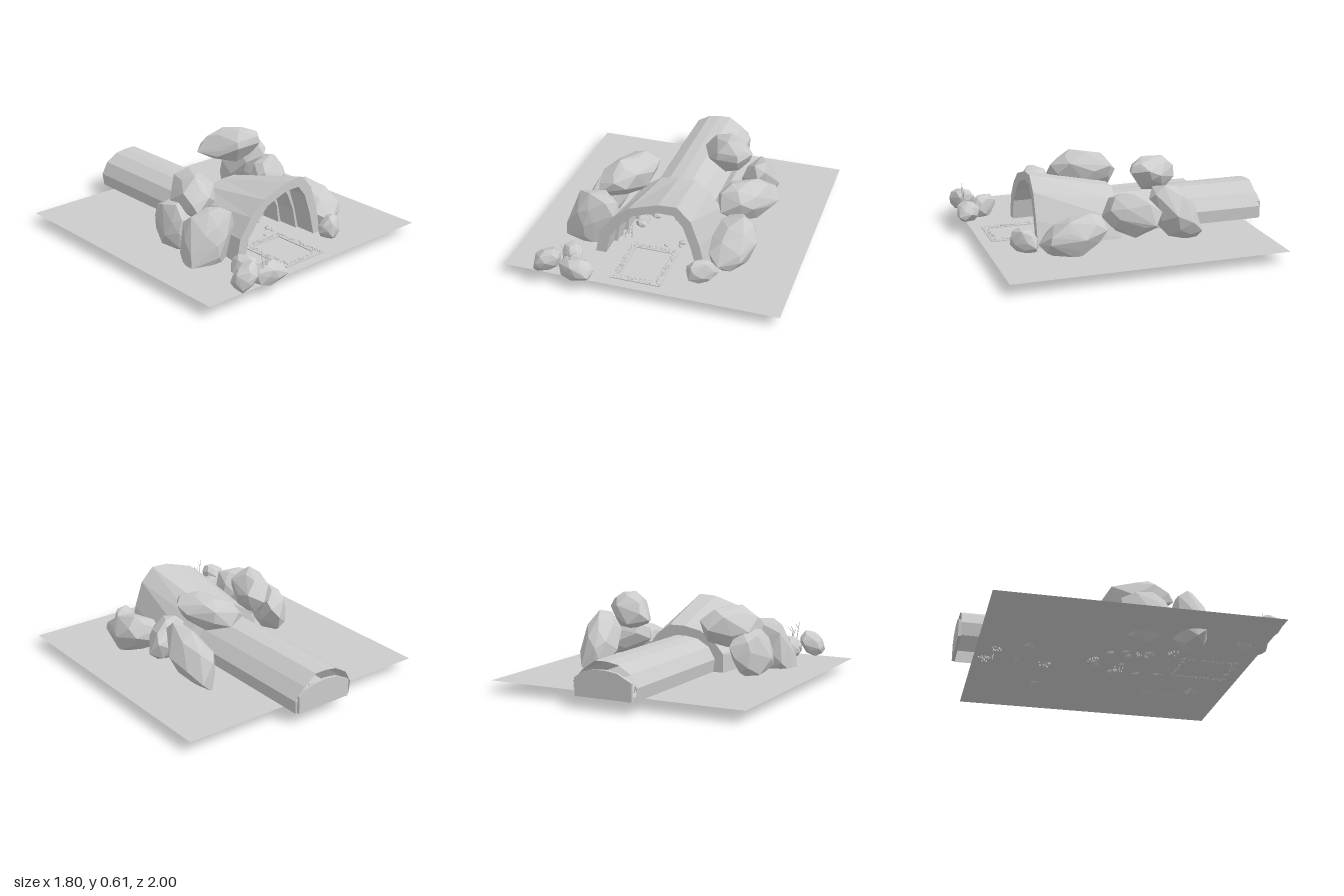
import * as THREE from 'three';
import { mergeGeometries } from 'three/addons/utils/BufferGeometryUtils.js';
import { ConvexGeometry } from 'three/addons/geometries/ConvexGeometry.js';

const GROUND = 0.085;
const rock = new THREE.MeshStandardMaterial({ color: 0xcccccc, flatShading: true });
const shell = new THREE.MeshStandardMaterial({ color: 0xcccccc, flatShading: true, side: THREE.DoubleSide });

// Seeded random numbers
let seed = 7;
const rand = (a = 0, b = 1) => {
  seed = (seed * 16807) % 2147483647;
  return a + (b - a) * (seed / 2147483647);
};

function add(parent, name, geometry, material = rock) {
  const mesh = new THREE.Mesh(geometry, material);
  mesh.name = name;
  parent.add(mesh);
  return mesh;
}

// Skin through arch sections {p: [[x, y], ...], z}
function loft(sections) {
  const n = sections[0].p.length;
  const pos = [], index = [];
  sections.forEach(({ p, z }) => p.forEach(([x, y]) => pos.push(x, y, z)));
  for (let s = 0; s < sections.length - 1; s++) {
    for (let i = 0; i < n - 1; i++) {
      const a = s * n + i, b = a + n;
      index.push(a, b, a + 1, b, b + 1, a + 1);
    }
  }
  const g = new THREE.BufferGeometry();
  g.setAttribute('position', new THREE.Float32BufferAttribute(pos, 3));
  g.setIndex(index);
  g.computeVertexNormals();
  return g;
}

const mix = (p, q, t) => p.map(([x, y], i) => [x + (q[i][0] - x) * t, y + (q[i][1] - y) * t]);

// Faceted boulder filling the box lo..hi; shear = [x by z, z by y, x by y]
function boulder(lo, hi, shear = [0, 0, 0], count = 30) {
  const pts = [];
  for (let i = 0; i < count; i++) {
    const y = 1 - (2 * i + 1) / count, a = i * 2.39996 + rand(-0.35, 0.35);
    const r = Math.sqrt(1 - y * y), k = rand(0.86, 1.1);
    const v = new THREE.Vector3(Math.cos(a) * r, y, Math.sin(a) * r).multiplyScalar(k);
    v.x += shear[0] * v.z + shear[2] * v.y;
    v.z += shear[1] * v.y;
    pts.push(v);
  }
  const box = new THREE.Box3().setFromPoints(pts), size = box.getSize(new THREE.Vector3());
  for (const v of pts) {
    v.sub(box.min).divide(size);
    v.set(...['x', 'y', 'z'].map((k, i) => lo[i] + (hi[i] - lo[i]) * v[k]));
  }
  return new ConvexGeometry(pts);
}

// Thin leaning blade or twig
function blade(x, y, z, h, r, lean) {
  const g = new THREE.ConeGeometry(r, h, 3).translate(0, h / 2, 0);
  g.rotateX(rand(-lean, lean)).rotateZ(rand(-lean, lean));
  return g.translate(x, y, z);
}

// Tiny stone
function pebble(x, y, z, r) {
  const g = new THREE.TetrahedronGeometry(r);
  return g.rotateX(rand(0, 6)).rotateY(rand(0, 6)).translate(x, y, z);
}

export function createModel() {
  seed = 7;
  const model = new THREE.Group();
  model.name = 'caveEntrance';

  // Ground sheet
  add(model, 'ground', new THREE.PlaneGeometry(1.8, 1.81).rotateX(-Math.PI / 2).translate(0, GROUND, 0.035), shell);

  // Arch outlines, from right foot to left foot
  const tunnel = [[-0.238, GROUND], [-0.25, 0.17], [-0.205, 0.25], [-0.12, 0.3], [-0.04, 0.313], [0.04, 0.313],
    [0.13, 0.25], [0.2, 0.17], [0.195, GROUND]];
  const frontOuter = [[-0.4, GROUND], [-0.37, 0.24], [-0.28, 0.36], [-0.17, 0.45], [0.03, 0.515], [0.15, 0.52],
    [0.24, 0.43], [0.3, 0.26], [0.34, GROUND]];
  const frontInner = [[-0.33, GROUND], [-0.3, 0.22], [-0.23, 0.31], [-0.14, 0.4], [0.02, 0.455], [0.13, 0.455],
    [0.19, 0.38], [0.24, 0.24], [0.28, GROUND]];
  const backOuter = [[-0.31, GROUND], [-0.31, 0.21], [-0.24, 0.29], [-0.14, 0.355], [-0.02, 0.38], [0.09, 0.38],
    [0.19, 0.31], [0.27, 0.2], [0.31, GROUND]];

  // Hood: outer skin, mouth rim and a ceiling that steps down to the tunnel
  const hood = [{ p: tunnel, z: 0.05 }, { p: backOuter, z: 0.05 }, { p: frontOuter, z: 0.62 }, { p: frontInner, z: 0.62 }];
  const steps = 4;
  for (let i = 0; i < steps; i++) {
    const z = 0.62 - (0.57 * (i + 1)) / steps;
    hood.push({ p: mix(frontInner, tunnel, i / steps), z }, { p: mix(frontInner, tunnel, (i + 1) / steps), z });
  }
  add(model, 'hood', loft(hood), shell);

  // Tunnel and its end panel
  add(model, 'tunnel', loft([{ p: tunnel, z: -0.985 }, { p: tunnel, z: 0.05 }]), shell);
  const end = new THREE.Shape([[-0.22, GROUND], [-0.22, 0.2], [-0.12, 0.25], [-0.03, 0.262], [0.06, 0.255],
    [0.13, 0.235], [0.18, 0.2], [0.18, GROUND]].map(([x, y]) => new THREE.Vector2(x, y)));
  add(model, 'endPanel', new THREE.ExtrudeGeometry(end, { depth: 0.02, bevelEnabled: false }).translate(0, 0, -1));

  // Boulders: low corner, high corner, shear
  const boulders = new THREE.Group();
  boulders.name = 'boulders';
  model.add(boulders);
  [
    [[0.33, 0.05, 0.21], [0.61, 0.34, 0.64], [0.1, -0.3, 0]],
    [[0.26, 0.15, -0.13], [0.64, 0.42, 0.19], [-0.6, 0, -0.2]],
    [[0.33, 0.07, -0.44], [0.6, 0.48, -0.07], [0.1, 0.6, 0.2]],
    [[0.06, 0.38, -0.34], [0.44, 0.615, 0.01], [0.6, 0.2, 0.3]],
    [[-0.5, 0.25, -0.1], [-0.18, 0.53, 0.34], [-0.5, 0, 0.2]],
    [[-0.61, 0.04, -0.06], [-0.38, 0.38, 0.34], [-0.3, 0, 0.1]],
    [[-0.66, 0.01, 0.31], [-0.3, 0.41, 0.57], [0.2, 0, 0.3]],
    [[0.24, 0.05, 0.62], [0.44, 0.23, 0.79], [-0.4, 0, 0]],
    [[-0.69, 0.09, 0.83], [-0.52, 0.265, 1], [-0.1, 0, 0.3]],
    [[-0.53, 0.07, 0.82], [-0.3, 0.215, 0.99], [0.3, 0, 0]],
    [[-0.57, 0.05, 0.7], [-0.4, 0.23, 0.87], [0.4, 0, 0]],
  ].forEach((b) => add(boulders, 'boulder', boulder(...b)));

  // Gravel border around the pit in front of the mouth
  const gravel = [];
  const strip = (x0, x1, z0, z1, count) => {
    gravel.push(new THREE.BoxGeometry(x1 - x0, 0.006, z1 - z0).toNonIndexed()
      .translate((x0 + x1) / 2, GROUND + 0.003, (z0 + z1) / 2));
    for (let i = 0; i < count; i++) {
      gravel.push(pebble(rand(x0 + 0.008, x1 - 0.008), GROUND + 0.004, rand(z0 + 0.008, z1 - 0.008), rand(0.006, 0.011)));
    }
  };
  for (const x of [-0.21, 0.07]) strip(x, x + 0.05, 0.46, 0.87, 170);
  for (const z of [0.46, 0.82]) strip(-0.16, 0.07, z, z + 0.05, 90);
  add(model, 'gravelBorder', mergeGeometries(gravel));

  // Rubble on the cave floor
  const rubble = new THREE.Group();
  rubble.name = 'rubble';
  model.add(rubble);
  for (let i = 0; i < 16; i++) {
    const z = rand(-0.7, 0.45), w = z > 0.05 ? 0.2 : 0.15, x = rand(-w, w) - 0.03, r = rand(0.012, 0.04);
    add(rubble, 'stone', boulder([x - r, GROUND - r * 0.5, z - r * 0.8], [x + r, GROUND + r, z + r * 0.8], [0.2, 0, 0], 14));
  }

  // Grass tufts along the cave floor
  const grass = [];
  for (const [x, z] of [[0.04, -0.78], [-0.08, -0.74], [0.09, -0.8], [0.06, 0.1], [-0.05, -0.1], [-0.27, 0.4], [-0.2, 0.2], [0.1, -0.4]]) {
    for (let i = 0; i < 12; i++) {
      grass.push(blade(x + rand(-0.04, 0.04), GROUND - 0.01, z + rand(-0.04, 0.04), rand(0.04, 0.1), 0.005, 0.5));
    }
  }
  add(model, 'grass', mergeGeometries(grass));

  // Roots hanging from the ceiling
  const roots = [];
  for (const [x, y, z] of [[-0.13, 0.37, 0.4], [0, 0.42, 0.42], [0.13, 0.4, 0.42], [-0.06, 0.35, 0.2], [0.06, 0.36, 0.2], [0.16, 0.33, 0.35]]) {
    roots.push(new THREE.ConeGeometry(0.005, 0.08, 4).rotateX(Math.PI).translate(x, y - 0.03, z));
  }
  add(model, 'roots', mergeGeometries(roots));

  // Bare twigs growing by the front boulders
  const twigs = [];
  for (const [x, h, tilt] of [[-0.47, 0.17, 0.15], [-0.45, 0.13, -0.1], [-0.43, 0.12, 0.3]]) {
    twigs.push(new THREE.CylinderGeometry(0.002, 0.004, h, 4).translate(0, h / 2, 0).rotateZ(tilt).translate(x, 0.15, 0.935));
    twigs.push(new THREE.ConeGeometry(0.003, 0.05, 4).translate(0, 0.025, 0).rotateZ(tilt - 0.7)
      .translate(x - Math.sin(tilt) * h * 0.7, 0.15 + h * 0.7, 0.935));
  }
  add(model, 'twigs', mergeGeometries(twigs));

  return model;
}
